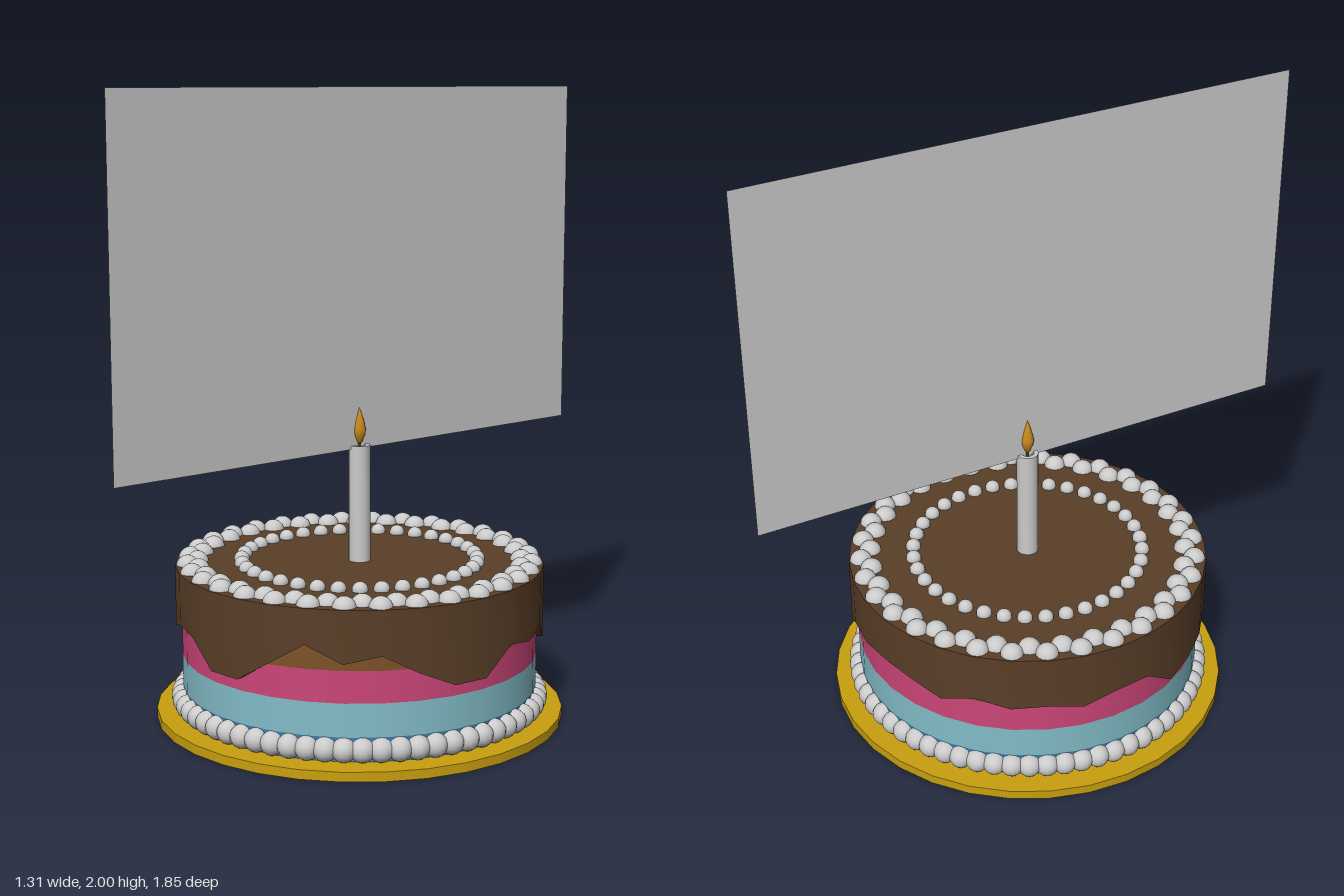
import * as THREE from 'three';
import { toCreasedNormals } from 'three/addons/utils/BufferGeometryUtils.js';

const SIDES = 32;
const mat = (color, side = THREE.FrontSide) => new THREE.MeshStandardMaterial({ color, side });

// Lower edge of the icing at 32 steps around, from the front towards +x
const DRIPS = [
  0.25, 0.25, 0.32, 0.39, 0.335, 0.36, 0.3, 0.25,
  0.25, 0.33, 0.31, 0.33, 0.26, 0.26, 0.26, 0.33,
  0.33, 0.34, 0.33, 0.3, 0.335, 0.31, 0.32, 0.3,
  0.33, 0.33, 0.25, 0.265, 0.275, 0.305, 0.335, 0.33,
];

export function createModel() {
  const model = new THREE.Group();

  function add(name, geometry, material, y = 0, parent = model) {
    const mesh = new THREE.Mesh(geometry, material);
    mesh.name = name;
    mesh.position.y = y;
    parent.add(mesh);
    return mesh;
  }

  function disc(name, radius, y0, y1, color) {
    const g = new THREE.CylinderGeometry(radius, radius, y1 - y0, SIDES);
    return add(name, g, mat(color), (y0 + y1) / 2);
  }

  // Ring of piped beads; radii alternate between the given values
  function beadRing(name, count, radii, y, size, heightScale = 1) {
    const ring = new THREE.Group();
    ring.name = name;
    const geometry = new THREE.SphereGeometry(size, 14, 10);
    const material = mat(0xcccccc);
    for (let i = 0; i < count; i++) {
      const a = (i / count) * Math.PI * 2;
      const r = radii[i % radii.length];
      const bead = add('bead', geometry, material, y, ring);
      bead.position.set(Math.sin(a) * r, y, Math.cos(a) * r);
      bead.scale.y = heightScale;
    }
    model.add(ring);
  }

  // Board and sponge layers
  disc('cakeBoard', 0.655, 0, 0.03, 0xc9a00f);
  disc('bottomLayer', 0.57, 0.03, 0.105, 0x3d80b8);
  disc('blueLayer', 0.57, 0.105, 0.21, 0x83bdc8);
  disc('pinkLayer', 0.57, 0.21, 0.31, 0xcc4678);
  disc('caramelLayer', 0.57, 0.31, 0.48, 0x7d5228);

  // Chocolate icing: top, outer wall, dripping underside
  const pos = [];
  const point = (r, y, i) => {
    const a = (i / SIDES) * Math.PI * 2;
    return [Math.sin(a) * r, y, Math.cos(a) * r];
  };
  const section = (i) => {
    const d = DRIPS[i % SIDES];
    return [point(0, 0.5, i), point(0.59, 0.5, i), point(0.59, d, i), point(0.565, d, i)];
  };
  for (let i = 0; i < SIDES; i++) {
    const a = section(i);
    const b = section(i + 1);
    pos.push(...a[0], ...a[1], ...b[1]);
    for (let k = 1; k < 3; k++) {
      pos.push(...a[k], ...a[k + 1], ...b[k + 1], ...a[k], ...b[k + 1], ...b[k]);
    }
  }
  const icing = new THREE.BufferGeometry();
  icing.setAttribute('position', new THREE.Float32BufferAttribute(pos, 3));
  add('chocolateIcing', toCreasedNormals(icing, 0.6), mat(0x5a3f28));

  // Piped decoration
  beadRing('baseBeads', 64, [0.57], 0.067, 0.038);
  beadRing('rimBeads', 64, [0.55, 0.52], 0.495, 0.037);
  beadRing('innerBeads', 36, [0.378], 0.505, 0.025);

  // Hollow candle with wick and flame
  const candle = new THREE.Group();
  candle.name = 'candle';
  model.add(candle);
  const wall = [[0.035, 0.5], [0.035, 0.877], [0.021, 0.877], [0.021, 0.5]]
    .map(([r, y]) => new THREE.Vector2(r, y));
  add('candleTube', toCreasedNormals(new THREE.LatheGeometry(wall, 16), 0.6),
    mat(0xcccccc, THREE.DoubleSide), 0, candle);
  add('wick', new THREE.CylinderGeometry(0.005, 0.005, 0.05, 8), mat(0x4a3520), 0.87, candle);
  const flame = [[0, 0.878], [0.01, 0.888], [0.019, 0.91], [0.021, 0.928], [0.014, 0.957], [0.006, 0.983], [0, 1.0]]
    .map(([r, y]) => new THREE.Vector2(r, y));
  add('flame', new THREE.LatheGeometry(flame, 12), mat(0xc9891c), 0, candle);

  // Thin upright panel over the cake, facing sideways
  const panel = add('uprightPanel', new THREE.PlaneGeometry(1.85, 1.135),
    mat(0xcccccc, THREE.DoubleSide), 1.4325);
  panel.rotation.y = Math.PI / 2;

  return model;
}
